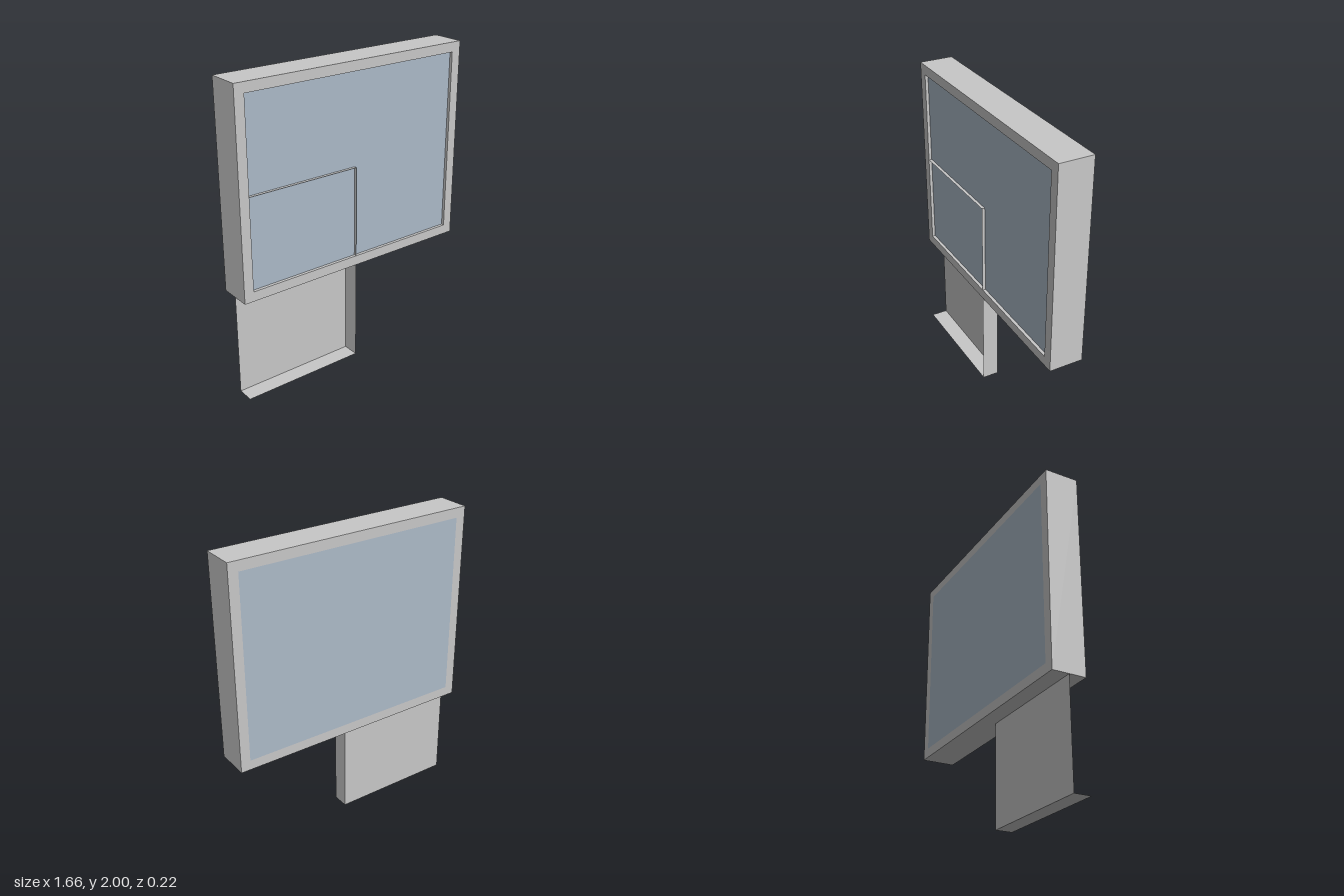
import * as THREE from 'three';

const grey = new THREE.MeshStandardMaterial({ color: 0xc8c8c8, side: THREE.DoubleSide });
grey.name = 'grey casing';
const blue = new THREE.MeshStandardMaterial({ color: 0xacbac8, side: THREE.DoubleSide });
blue.name = 'pale blue panel';

// Main dimensions
const W = 1.665, BOTTOM = 0.67, TOP = 2, D = 0.22;
const RIM = 0.064, RECESS = 0.02;
const H = TOP - BOTTOM, MID = (TOP + BOTTOM) / 2;
const innerW = W - 2 * RIM, innerH = H - 2 * RIM;

export function createModel() {
  const model = new THREE.Group();
  model.name = 'panelOnStand';

  // Flat sheet; axis is the direction it faces
  function sheet(name, w, h, material, position, axis = 'z') {
    const geometry = new THREE.PlaneGeometry(w, h);
    if (axis === 'x') geometry.rotateY(Math.PI / 2);
    if (axis === 'y') geometry.rotateX(-Math.PI / 2);
    if (axis === '-y') geometry.rotateX(Math.PI / 2);
    if (axis === '-z') geometry.rotateY(Math.PI);
    const mesh = new THREE.Mesh(geometry, material);
    mesh.name = name;
    mesh.position.set(...position);
    model.add(mesh);
  }

  // Rectangular frame with a window opening
  const outline = new THREE.Shape();
  outline.moveTo(-W / 2, BOTTOM).lineTo(W / 2, BOTTOM).lineTo(W / 2, TOP).lineTo(-W / 2, TOP).closePath();
  const opening = new THREE.Path();
  const ix = innerW / 2, iy0 = BOTTOM + RIM, iy1 = TOP - RIM;
  opening.moveTo(-ix, iy0).lineTo(-ix, iy1).lineTo(ix, iy1).lineTo(ix, iy0).closePath();
  outline.holes.push(opening);
  const frame = new THREE.Mesh(
    new THREE.ExtrudeGeometry(outline, { depth: D, bevelEnabled: false }).translate(0, 0, -D / 2), grey);
  frame.name = 'frame';
  model.add(frame);

  // Recessed front panel and flush back panel
  const panelZ = D / 2 - RECESS;
  sheet('frontPanel', innerW, innerH, blue, [0, MID, panelZ]);
  sheet('backPanel', innerW, innerH, blue, [0, MID, -D / 2], '-z');

  // Shallow ribs marking off the lower quarter of the front panel
  const ribZ = D / 2 - RECESS / 2;
  sheet('quarterTopRib', innerW / 2, RECESS, grey, [-innerW / 4, MID, ribZ], 'y');
  sheet('quarterSideRib', RECESS, innerH / 2, grey, [0, MID - innerH / 4, ribZ], 'x');

  // Open stand: back wall, side wall and floor
  sheet('standBack', W / 2, BOTTOM, grey, [-W / 4, BOTTOM / 2, 0], '-z');
  sheet('standSide', D / 2, BOTTOM, grey, [0, BOTTOM / 2, D / 4], 'x');
  sheet('standFloor', W / 2, D / 2, grey, [-W / 4, 0, D / 4], '-y');

  return model;
}
